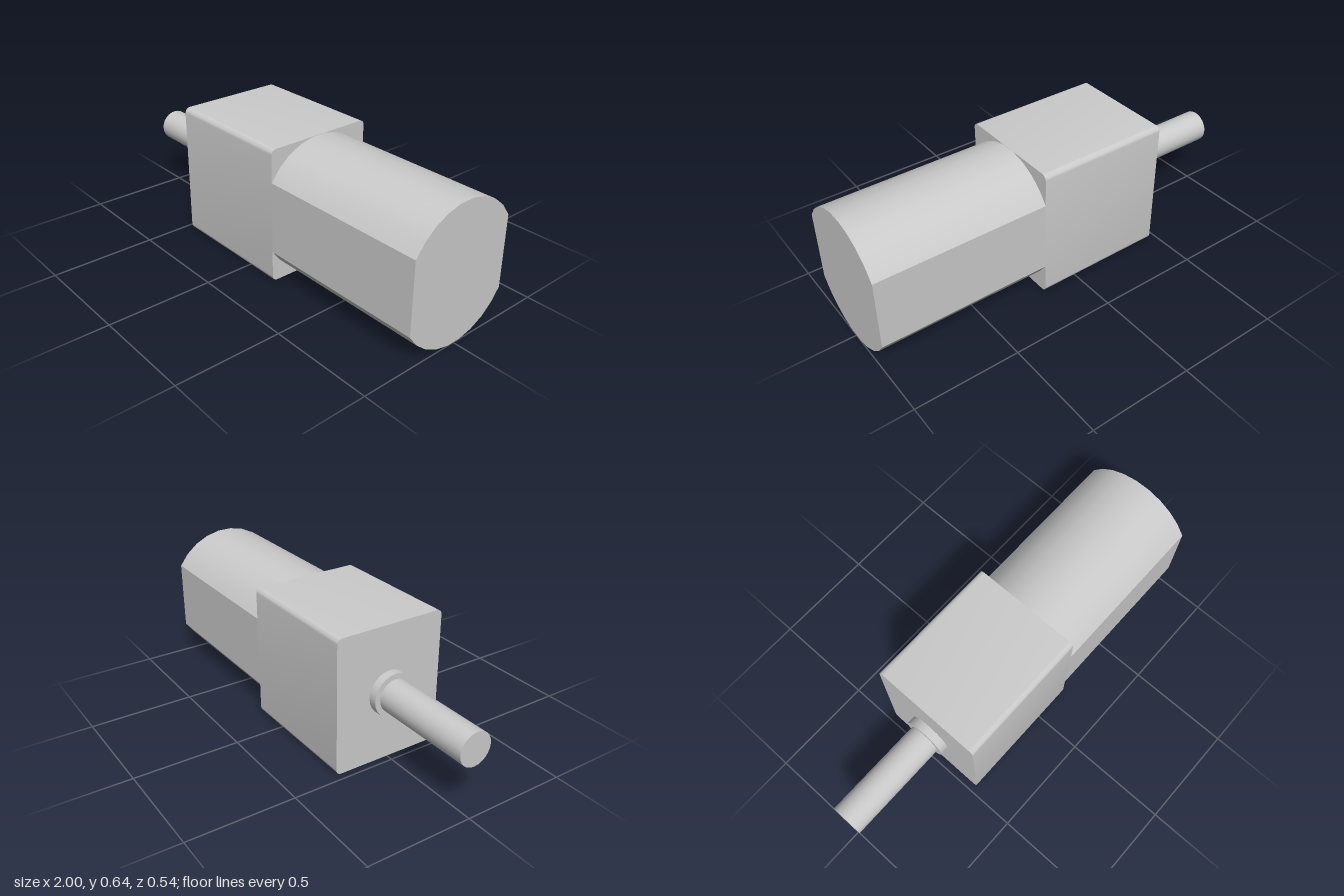
import * as THREE from 'three';
import { toCreasedNormals } from 'three/addons/utils/BufferGeometryUtils.js';

const material = new THREE.MeshStandardMaterial({ color: 0xcccccc });
const HALF_WIDTH = 0.27, HEIGHT = 0.645, AXIS_Y = HEIGHT / 2;

function part(name, geometry) {
  const mesh = new THREE.Mesh(geometry, material);
  mesh.name = name;
  return mesh;
}

// Extrudes a cross-section (z, y) along x from x0 to x1
function prism(points, x0, x1) {
  const geometry = new THREE.ExtrudeGeometry(new THREE.Shape(points), { depth: x1 - x0, bevelEnabled: false });
  geometry.rotateY(Math.PI / 2).translate(x0, 0, 0);
  return toCreasedNormals(geometry, 0.4);
}

// Points on an arc, counter-clockwise
function arc(cx, cy, r, start, sweep, steps) {
  return Array.from({ length: steps + 1 }, (_, i) => {
    const a = start + (sweep * i) / steps;
    return new THREE.Vector2(cx + r * Math.cos(a), cy + r * Math.sin(a));
  });
}

// Round bar lying along x
function bar(r, x0, x1) {
  const geometry = new THREE.CylinderGeometry(r, r, x1 - x0, 24);
  return geometry.rotateZ(Math.PI / 2).translate((x0 + x1) / 2, AXIS_Y + 0.004, 0);
}

export function createModel() {
  const model = new THREE.Group();
  model.name = 'gearMotor';

  // Gearbox: block with its four long edges rounded
  const r = 0.025, q = Math.PI / 2;
  const block = [[1, 1], [-1, 1], [-1, -1], [1, -1]].flatMap(([sx, sy], i) =>
    arc(sx * (HALF_WIDTH - r), AXIS_Y + sy * (AXIS_Y - r), r, i * q, q, 6));
  model.add(part('gearbox', prism(block, -0.465, 0.18)));

  // Motor can: flat sides joined by faceted arcs above and below
  const canRadius = 0.314, half = Math.asin(HALF_WIDTH / canRadius);
  const can = [
    ...arc(0, 0.332, canRadius, q - half, 2 * half, 9),
    ...arc(0, HEIGHT - 0.332, canRadius, 3 * q - half, 2 * half, 9),
  ];
  model.add(part('motorCan', prism(can, 0.18, 1)));

  // Output shaft and its collar
  model.add(part('shaftCollar', bar(0.104, -0.505, -0.465)));
  model.add(part('outputShaft', bar(0.078, -1, -0.505)));
  return model;
}
